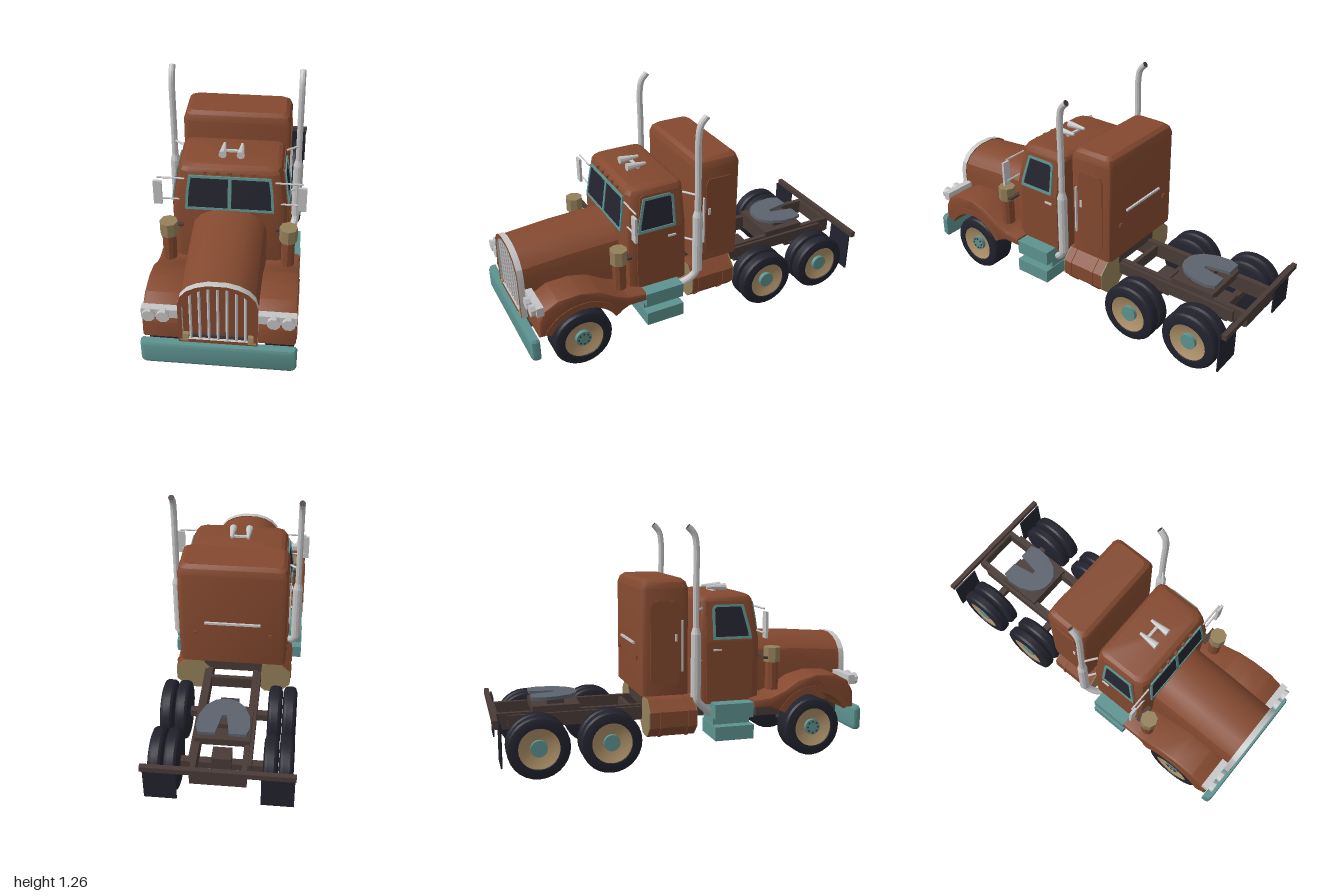
import * as THREE from 'three';
import { toCreasedNormals } from 'three/addons/utils/BufferGeometryUtils.js';

const mat = (name, color) => Object.assign(new THREE.MeshStandardMaterial({ color }), { name });
const V = (x, y, z) => new THREE.Vector3(x, y, z);

export function createModel() {
  const truck = new THREE.Group();
  truck.name = 'truck';
  const paint = mat('rust paint', 0x84492f), teal = mat('teal trim', 0x5d9390), silver = mat('silver', 0xc6c6c6);
  const hubTan = mat('tan wheel', 0xae9169), lampTan = mat('dull amber', 0x94805a), rubber = mat('rubber', 0x22222e);
  const glass = mat('dark glass', 0x252531), iron = mat('dark frame', 0x493b37), steel = mat('grey steel', 0x5c636d);

  const add = (name, geo, m) => {
    const mesh = new THREE.Mesh(toCreasedNormals(geo, 0.45), m);
    mesh.name = name;
    truck.add(mesh);
  };
  // Mirror a geometry across x, keeping its faces outward
  const mirrored = (geo) => {
    const g = geo.index ? geo.toNonIndexed() : geo.clone();
    g.scale(-1, 1, 1);
    for (const a of Object.values(g.attributes)) {
      const n = a.itemSize;
      for (let i = 0; i < a.count; i += 3) for (let k = 0; k < n; k++) {
        const p = (i + 1) * n + k, q = (i + 2) * n + k, t = a.array[p];
        a.array[p] = a.array[q];
        a.array[q] = t;
      }
    }
    return g;
  };
  const pair = (name, geo, m) => {
    add(name + 'Left', geo, m);
    add(name + 'Right', mirrored(geo), m);
  };
  const box = (x0, x1, y0, y1, z0, z1) => new THREE.BoxGeometry(x1 - x0, y1 - y0, z1 - z0)
    .translate((x0 + x1) / 2, (y0 + y1) / 2, (z0 + z1) / 2);
  const cylY = (x, z, y0, y1, r0, r1, n = 12) => new THREE.CylinderGeometry(r1, r0, y1 - y0, n).translate(x, (y0 + y1) / 2, z);
  const cylZ = (x, y, z0, z1, r0, r1, n = 12) => new THREE.CylinderGeometry(r1, r0, z1 - z0, n)
    .rotateY(Math.PI / n).rotateX(Math.PI / 2).translate(x, y, (z0 + z1) / 2);
  const cylX = (y, z, x0, x1, r, n = 12) => new THREE.CylinderGeometry(r, r, x1 - x0, n)
    .rotateZ(-Math.PI / 2).translate((x0 + x1) / 2, y, z);
  const tube = (pts, r, seg = 16) => new THREE.TubeGeometry(new THREE.CatmullRomCurve3(pts), seg, r, 10);
  const shape = (pts) => new THREE.Shape(pts.map(([x, y]) => new THREE.Vector2(x, y)));
  const mirrorPts = (half) => [...half, ...half.map(([x, ...r]) => [-x, ...r]).reverse()];

  // Skin closed rings of equal length and cap both ends
  const loft = (rings) => {
    const n = rings[0].length, pos = rings.flat(2), idx = [];
    for (let j = 0; j < rings.length - 1; j++) for (let i = 0; i < n; i++) {
      const a = j * n + i, b = j * n + (i + 1) % n;
      idx.push(a, b, b + n, a, b + n, a + n);
    }
    const last = (rings.length - 1) * n;
    for (let i = 1; i < n - 1; i++) idx.push(0, i + 1, i, last, last + i, last + i + 1);
    let volume = 0;
    const p = (i) => V().fromArray(pos, idx[i] * 3);
    for (let i = 0; i < idx.length; i += 3) volume += p(i).dot(p(i + 1).cross(p(i + 2)));
    if (volume < 0) idx.reverse();
    const g = new THREE.BufferGeometry();
    g.setAttribute('position', new THREE.Float32BufferAttribute(pos, 3));
    g.setIndex(idx);
    return g;
  };
  // Level ring: half width w, rear zb, front zf, rear and front corner cuts
  const ring = (y, w, zb, zf, cb, cf) => mirrorPts([[w - cf, y, zf], [w - 0.3 * cf, y, zf - 0.3 * cf], [w, y, zf - cf],
    [w, y, zb + cb], [w - 0.3 * cb, y, zb + 0.3 * cb], [w - cb, y, zb]]);
  // Panel drawn in (z, height), extruded inward from the +x side
  const sidePanel = (s, depth, origin, tilt = 0, bevel = 0) => {
    const g = new THREE.ExtrudeGeometry(s, { depth: depth - 2 * bevel, bevelEnabled: bevel > 0, bevelSize: bevel,
      bevelThickness: bevel, bevelOffset: -bevel, bevelSegments: 2, curveSegments: 14 }).translate(0, 0, bevel);
    const sn = Math.sin(tilt), c = Math.cos(tilt);
    g.applyMatrix4(new THREE.Matrix4().makeBasis(V(0, 0, 1), V(-sn, c, 0), V(-c, -sn, 0)));
    return g.translate(origin.x, origin.y, origin.z);
  };

  // Cab and sleeper
  add('cab', loft([ring(0.315, 0.295, 0.085, 0.43, 0.03, 0.05), ring(0.65, 0.295, 0.085, 0.43, 0.03, 0.05),
    ring(0.86, 0.265, 0.09, 0.4, 0.03, 0.05), ring(0.88, 0.255, 0.1, 0.388, 0.03, 0.05),
    ring(0.892, 0.235, 0.12, 0.365, 0.03, 0.05)]), paint);
  add('sleeper', loft([ring(0.375, 0.29, -0.235, 0.025, 0.03, 0.03), ring(0.935, 0.29, -0.235, 0.025, 0.03, 0.03),
    ring(0.968, 0.279, -0.224, 0.014, 0.03, 0.03), ring(0.985, 0.258, -0.203, -0.007, 0.03, 0.03)]), paint);
  pair('sleeperDoor', sidePanel(shape([[-0.045, 0.43], [-0.17, 0.43], [-0.185, 0.46], [-0.185, 0.84], [-0.17, 0.87],
    [-0.045, 0.87], [-0.03, 0.84], [-0.03, 0.46]]), 0.008, V(0.295, 0, 0)), paint);
  pair('sleeperGrab', box(0.29, 0.304, 0.5, 0.77, -0.019, -0.011), silver);
  pair('sleeperLatch', box(0.29, 0.3, 0.66, 0.7, -0.055, -0.042), silver);
  add('sleeperRearBar', box(-0.15, 0.15, 0.633, 0.645, -0.246, -0.233), silver);
  pair('sleeperRearLight', box(0.19, 0.21, 0.56, 0.58, -0.243, -0.233), paint);

  // Doors and side windows
  const tilt = Math.atan2(0.03, 0.21);
  pair('doorLower', box(0.29, 0.3, 0.33, 0.65, 0.12, 0.375), paint);
  pair('doorUpper', sidePanel(shape([[0.12, 0], [0.375, 0], [0.34, 0.2], [0.325, 0.21], [0.12, 0.21]]),
    0.009, V(0.3, 0.65, 0), tilt), paint);
  const windowFrame = shape([[0.155, 0.01], [0.37, 0.01], [0.365, 0.05], [0.328, 0.195], [0.175, 0.195], [0.155, 0.18]]);
  const paneCorners = [[0.168, 0.024], [0.354, 0.024], [0.35, 0.05], [0.317, 0.182], [0.18, 0.182], [0.168, 0.172]];
  windowFrame.holes.push(shape(paneCorners));
  pair('windowFrame', sidePanel(windowFrame, 0.009, V(0.308, 0.65, 0), tilt), teal);
  pair('sideWindow', sidePanel(shape(paneCorners), 0.006, V(0.303, 0.65, 0), tilt), glass);
  pair('doorHandle', box(0.298, 0.308, 0.6, 0.61, 0.155, 0.2), silver);

  // Split windshield on the sloping cab front
  const frontPanel = (s, depth) => new THREE.ExtrudeGeometry(s, { depth, bevelEnabled: false })
    .rotateX(-Math.atan2(0.03, 0.21)).translate(0, 0.655, 0.429);
  const screen = shape(mirrorPts([[0.228, 0], [0.222, 0.1], [0.209, 0.192]]));
  const paneHalf = [[0.009, 0.013], [0.214, 0.013], [0.209, 0.1], [0.197, 0.179], [0.009, 0.179]];
  screen.holes.push(shape(paneHalf), shape(paneHalf.map(([x, y]) => [-x, y])));
  add('windshieldFrame', frontPanel(screen, 0.009), teal);
  pair('windshield', frontPanel(shape(paneHalf), 0.005), glass);
  for (let i = -2; i <= 2; i++) add('roofLight', box(i * 0.062 - 0.01, i * 0.062 + 0.01, 0.855, 0.87, 0.385, 0.408), paint);

  // Roof horns
  pair('horn', cylZ(0.046, 0.914, 0.2, 0.31, 0.008, 0.021, 10), silver);
  add('hornBar', box(-0.05, 0.05, 0.892, 0.903, 0.235, 0.25), silver);
  pair('hornPost', box(0.04, 0.052, 0.885, 0.91, 0.235, 0.25), silver);

  // Hood, grille and front lights
  const arch = (w, top) => mirrorPts([[w, 0.27], [w, top - 0.13], [w - 0.012, top - 0.08], [w - 0.045, top - 0.04],
    [w - 0.09, top - 0.015], [0.045, top]]);
  add('hood', loft([[0.42, 0.193, 0.66], [0.7, 0.19, 0.65], [0.955, 0.186, 0.63]]
    .map(([z, w, top]) => arch(w, top).map(([x, y]) => [x, y, z]))), paint);
  const surround = shape(arch(0.19, 0.635));
  surround.holes.push(shape(arch(0.17, 0.617).map(([x, y]) => [x, Math.max(y, 0.29)])));
  add('grilleSurround', new THREE.ExtrudeGeometry(surround, { depth: 0.032, bevelEnabled: false }).translate(0, 0, 0.95), [paint, silver]);
  for (let i = -3; i <= 3; i++) add('grilleBar', cylY(i * 0.0435, 0.97, 0.29, 0.618 - 0.0022 * i * i, 0.007, 0.007, 8), silver);
  add('grilleSill', box(-0.14, 0.14, 0.262, 0.31, 0.94, 0.968), iron);
  pair('markerLamp', sidePanel(shape([[0.95, 0.28], [0.985, 0.28], [0.975, 0.312], [0.95, 0.312]]), 0.04, V(0.182, 0, 0)), lampTan);
  pair('headlightHousing', box(0.185, 0.372, 0.39, 0.44, 0.915, 0.952), silver);
  for (const x of [0.257, 0.327]) pair('headlight', cylZ(x + 0.006, 0.415, 0.93, 0.977, 0.026, 0.033, 8), silver);
  add('bumper', loft([ring(0.132, 0.372, 0.957, 0.995, 0.004, 0.02), ring(0.145, 0.38, 0.953, 1, 0.004, 0.022),
    ring(0.245, 0.38, 0.953, 1, 0.004, 0.022), ring(0.26, 0.372, 0.957, 0.995, 0.004, 0.02)]), teal);

  // Fenders with wheel arches
  const fender = shape([[0.95, 0.262], [0.945, 0.35], [0.915, 0.41], [0.84, 0.45], [0.72, 0.455], [0.62, 0.43],
    [0.53, 0.375], [0.46, 0.345], [0.36, 0.335], [0.36, 0.29], [0.46, 0.29], [0.52, 0.262]]);
  fender.absarc(0.715, 0.16, 0.2, Math.PI * 0.835, Math.PI * 0.165, true);
  pair('fender', sidePanel(fender, 0.19, V(0.372, 0, 0), 0, 0.012), paint);
  const lip = new THREE.Shape();
  lip.absarc(0.715, 0.16, 0.235, Math.PI * 0.16, Math.PI * 0.84, false);
  lip.absarc(0.715, 0.16, 0.2, Math.PI * 0.84, Math.PI * 0.16, true);
  pair('fenderLip', sidePanel(lip, 0.02, V(0.376, 0, 0)), paint);

  // Air cleaners
  pair('airCleaner', cylY(0.307, 0.485, 0.38, 0.54, 0.036, 0.036, 10), paint);
  pair('airCleanerCap', cylY(0.307, 0.485, 0.532, 0.61, 0.047, 0.047, 8), lampTan);
  pair('airCleanerBracket', box(0.24, 0.34, 0.55, 0.562, 0.425, 0.45), iron);

  // Mirrors
  pair('mirror', box(0.346, 0.39, 0.67, 0.81, 0.412, 0.426), silver);
  for (const y of [0.697, 0.825]) pair('mirrorArm', cylX(y, 0.41, 0.23, 0.37, 0.005, 6), silver);

  // Exhaust stacks
  const tip = V(0.338, 1.252, 0);
  pair('stackPipe', tube([V(0.338, 0.7, 0.045), V(0.338, 0.95, 0.045), V(0.338, 1.16, 0.045), V(0.338, 1.215, 0.033), tip], 0.017, 30), silver);
  pair('stackMouth', new THREE.CircleGeometry(0.0165, 10).lookAt(V(0, 0.6, -0.8)).translate(tip.x, tip.y, tip.z), iron);
  pair('muffler', cylY(0.338, 0.045, 0.37, 0.7, 0.027, 0.027), silver);
  pair('mufflerNeck', cylY(0.338, 0.045, 0.7, 0.735, 0.027, 0.017), silver);
  pair('exhaustElbow', tube([V(0.338, 0.4, 0.045), V(0.336, 0.35, 0.055), V(0.315, 0.3, 0.1), V(0.27, 0.26, 0.15)], 0.02), silver);
  for (const y of [0.55, 0.825]) pair('stackBracket', tube([V(0.27, y, 0.1), V(0.338, y, 0.05)], 0.006, 2), silver);

  // Steps and fuel tanks
  pair('lowerStep', box(0.16, 0.375, 0.13, 0.205, 0.145, 0.36), teal);
  pair('stepRiser', box(0.16, 0.32, 0.2, 0.25, 0.15, 0.355), teal);
  pair('upperStep', box(0.16, 0.37, 0.245, 0.325, 0.145, 0.36), teal);
  const tankR = 0.1 / Math.cos(Math.PI / 8);
  pair('fuelTank', cylZ(0.22, 0.25, -0.196, 0.058, tankR, tankR, 8), paint);
  for (const z of [-0.2, 0.056]) pair('tankEnd', cylZ(0.22, 0.25, z, z + 0.006, tankR, tankR, 8), lampTan);
  for (const z of [-0.14, 0.01]) pair('tankStrap', cylZ(0.22, 0.25, z, z + 0.014, tankR + 0.005, tankR + 0.005, 8), paint);

  // Chassis
  pair('frameRail', box(0.113, 0.14, 0.215, 0.3, -0.975, 0.93), iron);
  pair('railReinforcement', box(0.138, 0.157, 0.225, 0.29, -0.91, -0.1), iron);
  add('enginePan', box(-0.185, 0.185, 0.2, 0.275, 0.45, 0.94), iron);
  add('cabFloor', box(-0.2, 0.2, 0.27, 0.32, 0.09, 0.45), iron);
  add('sleeperMount', box(-0.16, 0.16, 0.29, 0.38, -0.2, 0.02), iron);
  for (const z of [-0.26, -0.545, -0.97]) add('crossMember', box(-0.12, 0.12, 0.225, 0.29, z - 0.012, z + 0.012), iron);
  add('tailBar', box(-0.38, 0.38, 0.295, 0.325, -1, -0.974), iron);
  add('tailPlate', box(-0.14, 0.14, 0.22, 0.3, -0.985, -0.96), iron);
  pair('mudFlap', box(0.21, 0.375, 0.08, 0.305, -0.966, -0.958), rubber);

  // Fifth wheel coupling
  const plate = shape(mirrorPts([[0.012, 0.65], [0.035, 0.78], [0.12, 0.78], [0.137, 0.73], [0.13, 0.65], [0.1, 0.58], [0.055, 0.54], [0.02, 0.53]]));
  add('couplingPlate', new THREE.ExtrudeGeometry(plate, { depth: 0.018, bevelEnabled: false }).rotateX(-Math.PI / 2).translate(0, 0.352, 0), steel);
  add('couplingStand', box(-0.1, 0.1, 0.29, 0.353, -0.7, -0.61), iron);
  add('couplingBase', box(-0.14, 0.14, 0.285, 0.325, -0.78, -0.53), iron);

  // Wheels
  const lathe = (pts, x, z) => new THREE.LatheGeometry(pts.map(([r, y]) => new THREE.Vector2(r, y)), 28)
    .rotateZ(-Math.PI / 2).translate(x, 0.16, z);
  const wheel = (name, x0, x1, z) => {
    const w = x1 - x0;
    pair(name + 'Tire', lathe([[0.001, 0], [0.13, 0], [0.153, 0.008], [0.16, 0.02], [0.16, w - 0.02], [0.153, w - 0.008],
      [0.13, w], [0.107, w], [0.103, w - 0.012]], x0, z), rubber);
    pair(name + 'Rim', lathe([[0.105, w - 0.006], [0.09, w - 0.012], [0.04, w - 0.03], [0.001, w - 0.03]], x0, z), hubTan);
    pair(name + 'Hub', cylX(0.16, z, x1 - 0.045, x1 - 0.008, 0.043, 16), teal);
  };
  wheel('front', 0.22, 0.365, 0.715);
  for (let i = 0; i < 8; i++) {
    const a = i * Math.PI / 4;
    pair('wheelNut', cylX(0.16 + 0.03 * Math.sin(a), 0.715 + 0.03 * Math.cos(a), 0.35, 0.361, 0.006, 6), iron);
  }
  for (const z of [-0.405, -0.775]) {
    wheel('rearOuter', 0.29, 0.365, z);
    wheel('rearInner', 0.212, 0.286, z);
  }
  for (const z of [0.715, -0.415, -0.785]) {
    add('axle', box(-0.225, 0.225, 0.14, 0.18, z - 0.02, z + 0.02), iron);
    add('differential', box(-0.05, 0.05, 0.12, 0.235, z - 0.042, z + 0.042), iron);
  }
  return truck;
}
